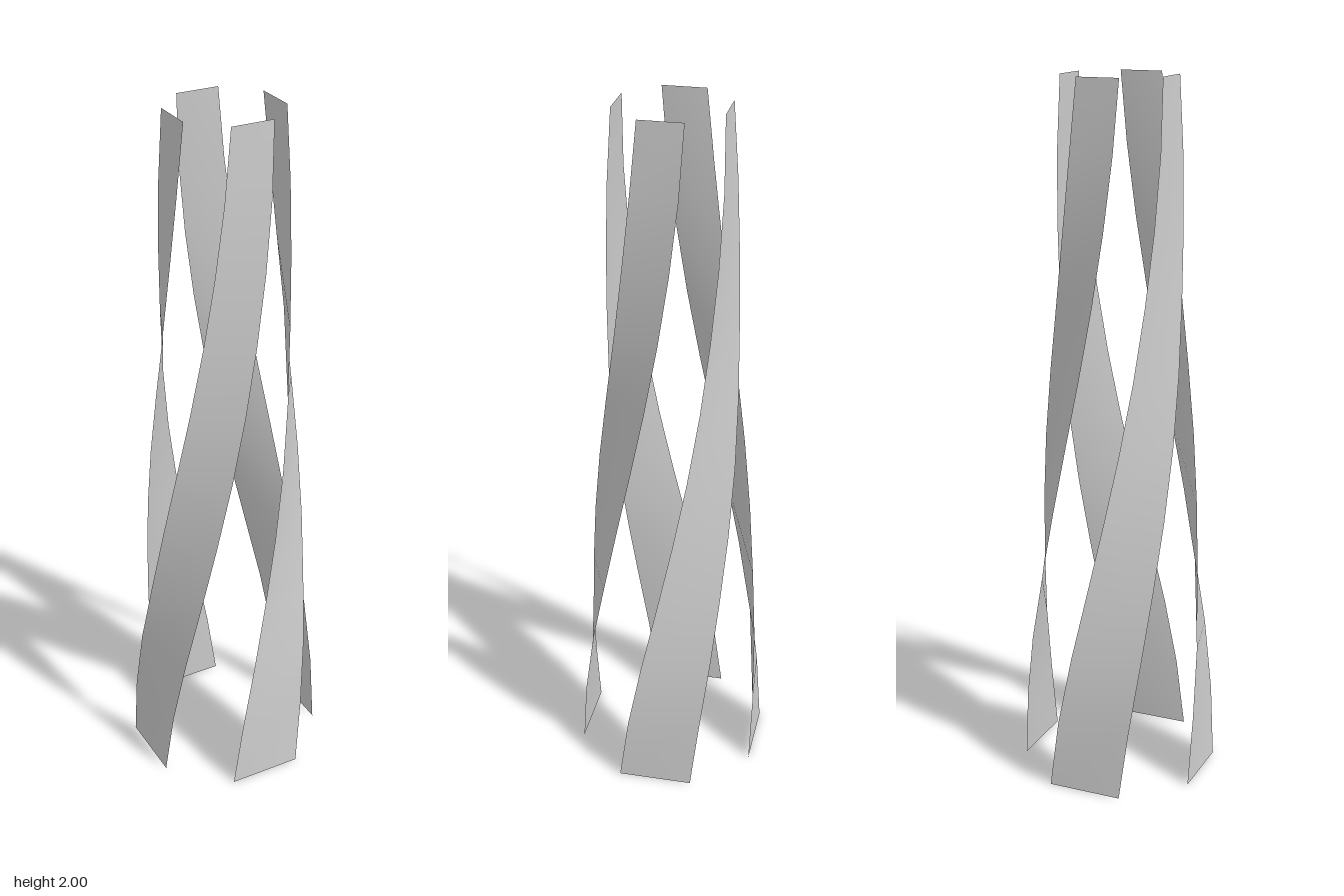
import * as THREE from 'three';

const HEIGHT = 2;
const STRIPS = 4;
// Distance of a strip edge from the axis, at even steps from bottom to top
const RADII = [0.28, 0.274, 0.26, 0.24, 0.224, 0.2095, 0.196, 0.185, 0.178, 0.171, 0.16];

// Quarter-turn twist, slightly eased at both ends
function twist(t) {
  return (Math.PI / 2) * (0.5 * t + 0.5 * t * t * (3 - 2 * t));
}

// One flat ribbon, an eighth of a turn wide, winding up around the axis
function ribbonGeometry() {
  const steps = RADII.length - 1;
  const positions = [];
  const indices = [];
  RADII.forEach((r, i) => {
    const t = i / steps;
    for (const start of [-Math.PI / 4, 0]) {
      const a = start + twist(t);
      positions.push(r * Math.sin(a), HEIGHT * t, r * Math.cos(a));
    }
    if (i < steps) {
      const k = i * 2;
      indices.push(k, k + 1, k + 3, k, k + 3, k + 2);
    }
  });
  const geometry = new THREE.BufferGeometry();
  geometry.setAttribute('position', new THREE.Float32BufferAttribute(positions, 3));
  geometry.setIndex(indices);
  geometry.computeVertexNormals();
  return geometry;
}

export function createModel() {
  const group = new THREE.Group();
  group.name = 'twistedTower';
  const material = new THREE.MeshStandardMaterial({ color: 0xcccccc, side: THREE.DoubleSide });
  const geometry = ribbonGeometry();

  // Four equal ribbons around the axis
  for (let i = 0; i < STRIPS; i++) {
    const ribbon = new THREE.Mesh(geometry, material);
    ribbon.name = `twistedRibbon${i + 1}`;
    ribbon.rotation.y = (i * 2 * Math.PI) / STRIPS;
    group.add(ribbon);
  }
  return group;
}
